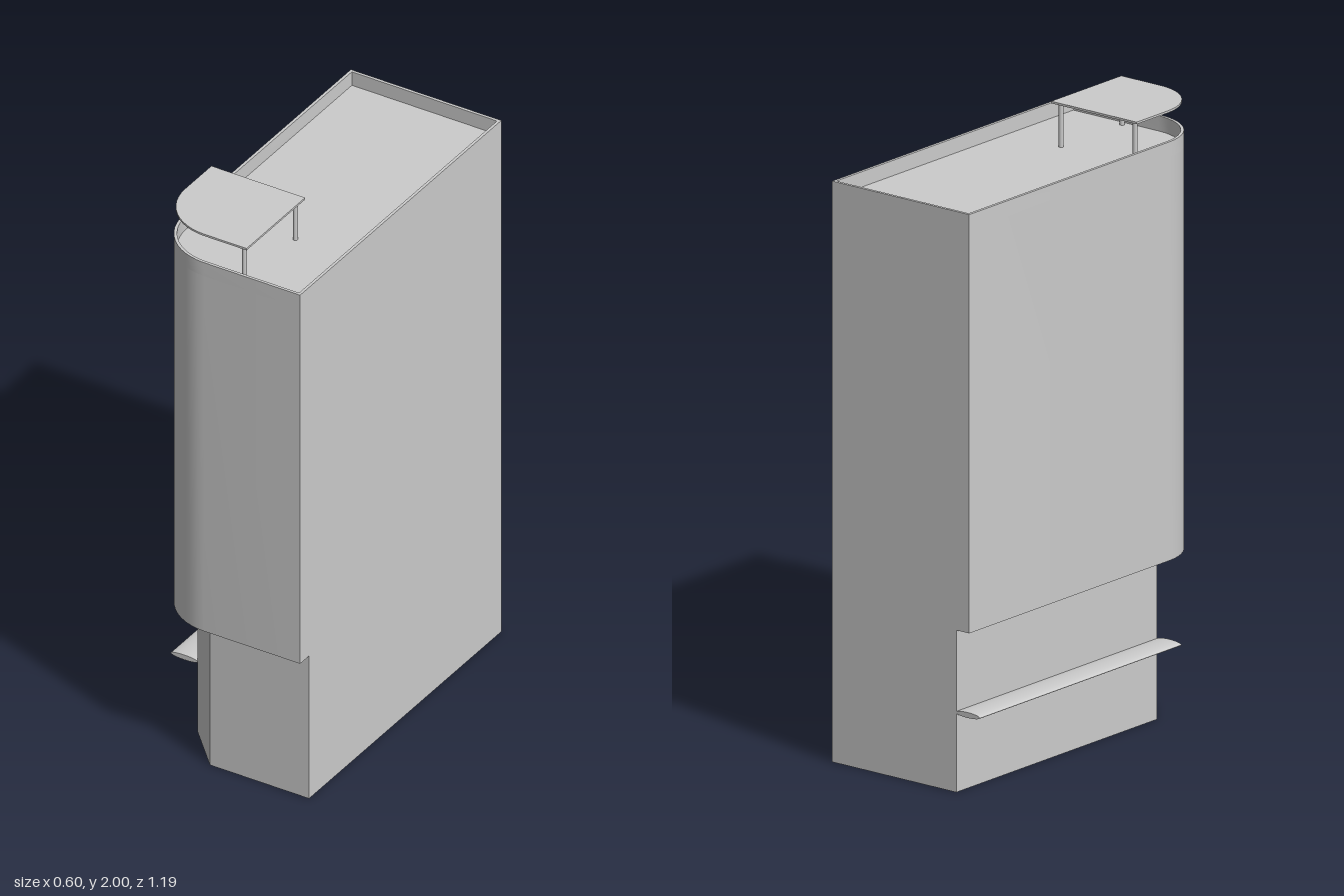
import * as THREE from 'three';
import { toCreasedNormals } from 'three/addons/utils/BufferGeometryUtils.js';

const material = new THREE.MeshStandardMaterial({ color: 0xcccccc, side: THREE.DoubleSide });

// Floor plan with one rounded corner at (x0, z1); shape y stands for -z
function plan(x0, x1, z0, z1, r) {
  const s = new THREE.Shape();
  s.moveTo(x0, -z0);
  s.lineTo(x0, -z1 + r);
  s.absarc(x0 + r, -z1 + r, r, Math.PI, Math.PI * 1.5, false);
  s.lineTo(x1, -z1);
  s.lineTo(x1, -z0);
  s.closePath();
  return s;
}

// Raise a plan from y0 to y1
function raise(shape, y0, y1) {
  const g = new THREE.ExtrudeGeometry(shape, { depth: y1 - y0, bevelEnabled: false, curveSegments: 6 });
  g.rotateX(-Math.PI / 2).translate(0, y0, 0);
  return toCreasedNormals(g, 0.6);
}

// Upright walls along a closed [x, z] loop, open at top and bottom
function walls(loop, y0, y1) {
  const p = [];
  loop.forEach(([ax, az], i) => {
    const [bx, bz] = loop[(i + 1) % loop.length];
    p.push(ax, y0, az, bx, y0, bz, bx, y1, bz, ax, y0, az, bx, y1, bz, ax, y1, az);
  });
  const g = new THREE.BufferGeometry();
  g.setAttribute('position', new THREE.Float32BufferAttribute(p, 3));
  g.computeVertexNormals();
  return g;
}

export function createModel() {
  const model = new THREE.Group();
  model.name = 'cornerBuilding';
  const add = (name, geometry) => {
    const mesh = new THREE.Mesh(geometry, material);
    mesh.name = name;
    model.add(mesh);
    return mesh;
  };

  const X0 = -0.257, X1 = 0.297, Z0 = -0.593, Z1 = 0.593, R = 0.2, T = 0.01;
  const stepY = 0.53, roofY = 1.85, topY = 1.9;

  // Ground floor with a chamfered corner
  add('groundFloor', walls([
    [-0.205, Z0], [-0.205, 0.395], [-0.068, 0.54], [X1, 0.54], [X1, Z0],
  ], 0, stepY));

  // Overhanging upper floors and the roof slab
  add('upperFloors', raise(plan(X0, X1, Z0, Z1, R), stepY, roofY));

  // Thin parapet round the roof
  const rim = plan(X0, X1, Z0, Z1, R);
  rim.holes.push(plan(X0 + T, X1 - T, Z0 + T, Z1 - T, R - T));
  add('parapet', raise(rim, roofY, topY));

  // Rooftop canopy on three posts
  add('canopy', raise(plan(-0.25, 0.095, 0.24, 0.585, 0.19), 1.993, 2));
  for (const [x, z] of [[0.073, 0.562], [0.073, 0.262], [-0.226, 0.262]]) {
    add('canopyPost', new THREE.CylinderGeometry(0.008, 0.008, 1.993 - roofY, 10))
      .position.set(x, (1.993 + roofY) / 2, z);
  }

  // Slim lens-shaped awning along the side wall
  const awning = new THREE.CylinderGeometry(1, 1, 0.4 - Z0, 24);
  awning.rotateX(Math.PI / 2).scale(0.05, 0.009, 1);
  add('awning', awning).position.set(-0.25, 0.261, (0.4 + Z0) / 2);

  return model;
}
